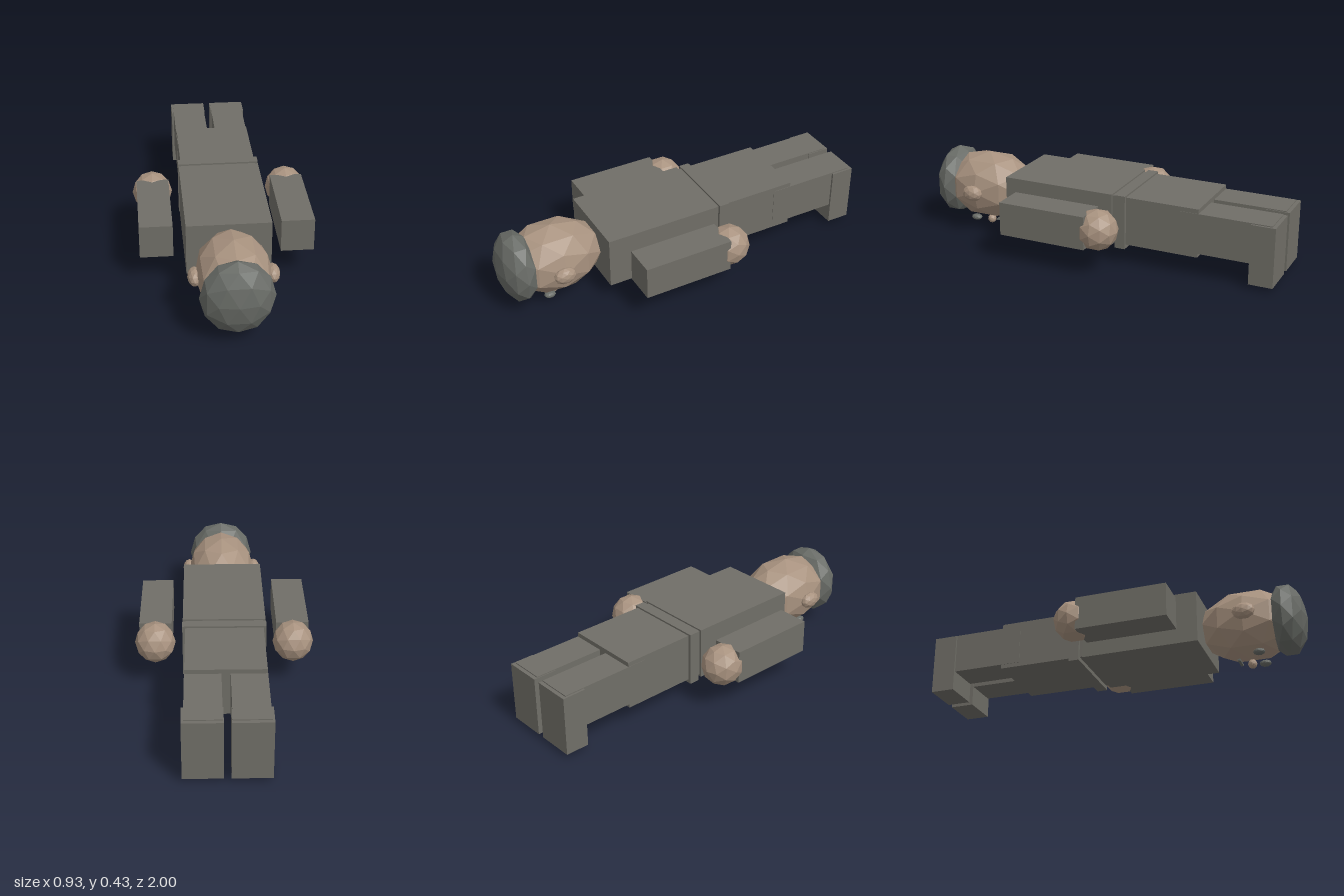
import * as THREE from 'three';

// Low-poly figure lying face down: head towards +z, face towards -y
export function createModel() {
  const group = new THREE.Group();
  const material = (name, color) => {
    const m = new THREE.MeshStandardMaterial({ color, flatShading: true });
    m.name = name;
    return m;
  };
  const cloth = material('warm grey cloth', 0x706e67);
  const dark = material('dark grey', 0x686b66);
  const skin = material('skin', 0xa8927f);

  const add = (name, geometry, mat) => {
    const mesh = new THREE.Mesh(geometry, mat);
    mesh.name = name;
    group.add(mesh);
  };
  // Box given by its extents on each axis
  const box = (name, mat, [x0, x1], [y0, y1], [z0, z1]) => {
    const g = new THREE.BoxGeometry(x1 - x0, y1 - y0, z1 - z0);
    g.translate((x0 + x1) / 2, (y0 + y1) / 2, (z0 + z1) / 2);
    add(name, g, mat);
  };
  // Faceted ball, turned with the lying body and stretched to its radii
  const ball = (name, mat, [x, y, z], [rx, ry, rz]) => {
    const g = new THREE.IcosahedronGeometry(1, 1);
    g.rotateX(Math.PI / 2).scale(rx, ry, rz).translate(x, y, z);
    add(name, g, mat);
  };

  // Trunk
  box('torso', cloth, [-0.213, 0.213], [0.098, 0.373], [-0.138, 0.478]);
  box('belt', cloth, [-0.215, 0.215], [0.087, 0.374], [-0.212, -0.157]);
  box('hips', cloth, [-0.2, 0.2], [0.108, 0.365], [-0.603, -0.12]);

  // Head
  ball('head', skin, [0, 0.238, 0.7], [0.188, 0.187, 0.268]);
  ball('cap', dark, [0, 0.24, 0.897], [0.18, 0.192, 0.103]);
  ball('nose', skin, [0, 0.025, 0.705], [0.024, 0.025, 0.024]);
  box('mouth', dark, [-0.037, 0.037], [0.037, 0.047], [0.637, 0.651]);

  // Paired parts
  for (const [side, s] of [['left', 1], ['right', -1]]) {
    const span = (a, b) => (s > 0 ? [a, b] : [-b, -a]);
    ball(side + 'Ear', skin, [s * 0.187, 0.236, 0.71], [0.035, 0.044, 0.059]);
    ball(side + 'Eye', dark, [s * 0.075, 0.053, 0.757], [0.024, 0.017, 0.031]);
    box(side + 'Arm', cloth, span(0.272, 0.441), [0.147, 0.323], [-0.09, 0.387]);
    ball(side + 'Hand', skin, [s * 0.358, 0.235, -0.127], [0.106, 0.108, 0.108]);
    box(side + 'Leg', cloth, span(0.022, 0.202), [0.13, 0.342], [-0.98, -0.5]);
    box(side + 'Foot', cloth, span(0.018, 0.213), [0.023, 0.337], [-1, -0.875]);
  }
  return group;
}
